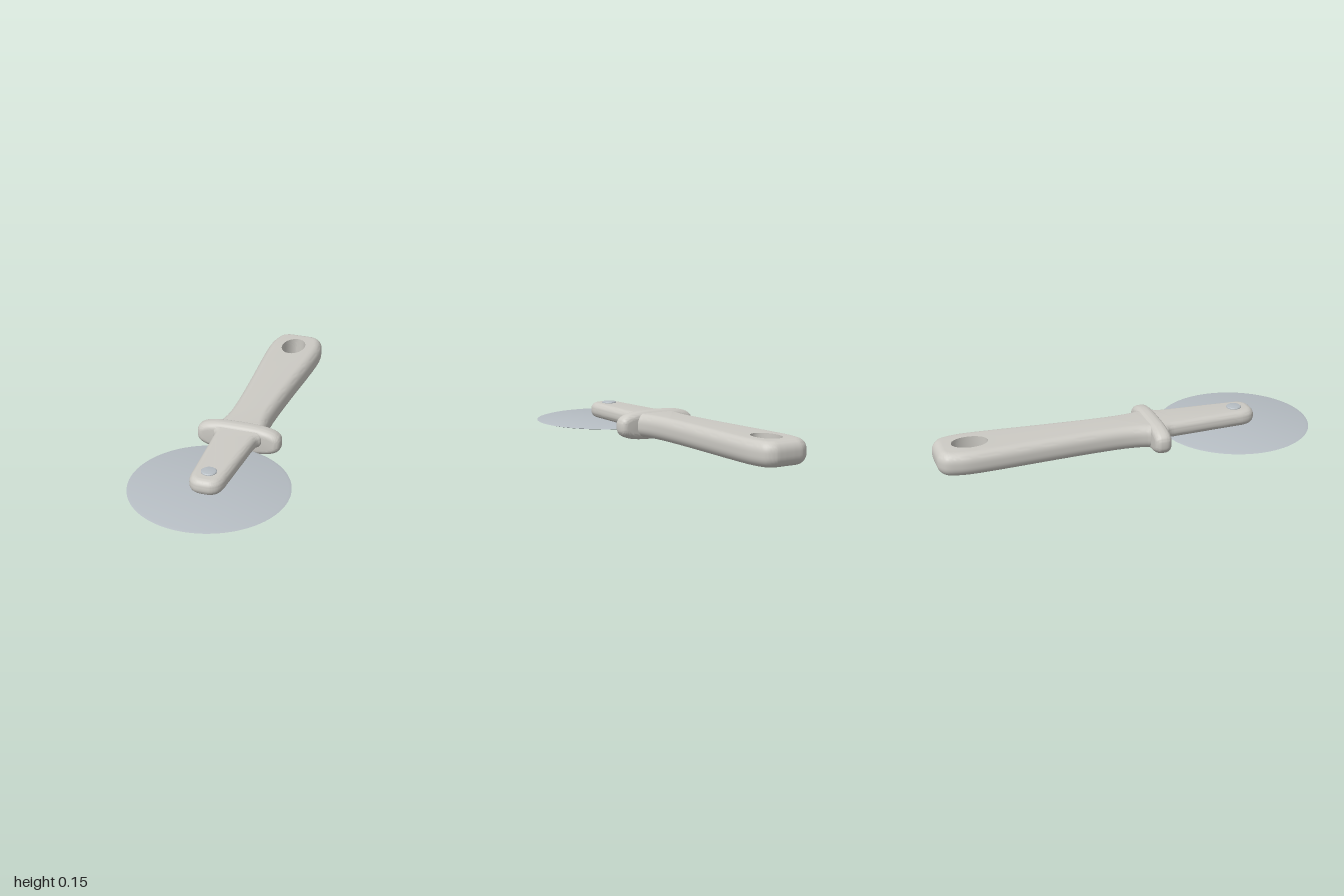
import * as THREE from 'three';
import { toCreasedNormals } from 'three/addons/utils/BufferGeometryUtils.js';

const plastic = new THREE.MeshStandardMaterial({ color: 0xcccac4 });
const steel = new THREE.MeshStandardMaterial({ color: 0xb6bdc3 });

// Symmetric outline from one half profile of [halfWidth, z], starting on the centre line
function outline(half) {
  const curve = new THREE.SplineCurve(half.map(([x, z]) => new THREE.Vector2(x, z)));
  const right = curve.getPoints(half.length * 6);
  const left = right.slice(1).reverse().map(p => new THREE.Vector2(-p.x, p.y));
  return new THREE.Shape([...right, ...left]);
}

// Extrusion with rounded rims whose widest section matches the shape, centred on its depth
function rounded(shape, height, size, thickness) {
  const depth = height - 2 * thickness;
  const geo = new THREE.ExtrudeGeometry(shape, {
    depth, steps: 1, curveSegments: 24, bevelEnabled: true, bevelSegments: 8,
    bevelSize: size, bevelThickness: thickness, bevelOffset: -size,
  });
  return geo.translate(0, 0, -depth / 2);
}

function part(name, geometry, material) {
  const mesh = new THREE.Mesh(geometry, material);
  mesh.name = name;
  return mesh;
}

export function createModel() {
  const group = new THREE.Group();
  group.name = 'rotaryCutter';

  // Handle: flared grip with an oval hanging hole
  const grip = outline([
    [0, -1], [0.04, -1], [0.08, -0.996], [0.12, -0.968], [0.139, -0.915], [0.148, -0.83],
    [0.141, -0.66], [0.127, -0.45], [0.114, -0.22], [0.11, -0.07], [0.115, 0.02],
    [0.125, 0.075], [0.132, 0.1], [0.132, 0.14],
  ]);
  const rim = 0.046, holeX = 0.064, holeZ = 0.094, holeAt = -0.82;
  const hole = new THREE.Path();
  hole.absellipse(0, holeAt, holeX - rim, holeZ - rim, 0, Math.PI * 2, true);
  grip.holes.push(hole);
  const gripGeo = rounded(grip, 0.123, rim, 0.052);
  // Pull the hole wall straight so only the outer rim is rounded
  const pos = gripGeo.attributes.position;
  for (let i = 0; i < pos.count; i++) {
    const u = pos.getX(i) / holeX, v = (pos.getY(i) - holeAt) / holeZ;
    const r = Math.hypot(u, v);
    if (r < 1.25) pos.setXY(i, (u / r) * holeX, holeAt + (v / r) * holeZ);
  }
  gripGeo.rotateX(Math.PI / 2).translate(0, 0.082, 0);
  group.add(part('handle', toCreasedNormals(gripGeo, 0.7), plastic));

  // Neck: tapered arm reaching over the blade
  const arm = outline([
    [0, 0.7], [0.04, 0.696], [0.072, 0.672], [0.087, 0.63], [0.091, 0.57], [0.1, 0.4],
    [0.109, 0.24], [0.115, 0.205], [0.128, 0.182], [0.132, 0.13],
  ]);
  const armGeo = rounded(arm, 0.082, 0.034, 0.036);
  armGeo.rotateX(Math.PI / 2).translate(0, 0.097, 0);
  group.add(part('neck', toCreasedNormals(armGeo, 0.7), plastic));

  // Finger guard: squarish oval plate across the handle
  const oval = [];
  const bulge = t => Math.sign(t) * Math.abs(t) ** (2 / 3);
  for (let i = 0; i < 72; i++) {
    const a = (i / 72) * Math.PI * 2;
    oval.push(new THREE.Vector2(0.222 * bulge(Math.cos(a)), 0.076 * bulge(Math.sin(a))));
  }
  const guardGeo = rounded(new THREE.Shape(oval), 0.088, 0.034, 0.036);
  guardGeo.translate(0, 0.079, 0.138);
  group.add(part('fingerGuard', toCreasedNormals(guardGeo, 0.7), plastic));

  // Blade: thin disc with a ground edge
  const lathe = (points, segments) => toCreasedNormals(
    new THREE.LatheGeometry(points.map(([x, y]) => new THREE.Vector2(x, y)), segments), 0.5);
  const blade = part('blade', lathe(
    [[0, -0.004], [0.382, -0.004], [0.397, 0], [0.382, 0.004], [0, 0.004]], 96), steel);
  blade.position.set(0, 0.05, 0.6);
  group.add(blade);

  // Pivot: domed rivet heads above the neck and below the blade
  for (const [name, y, flip] of [['topRivet', 0.136, 0], ['bottomRivet', 0.047, Math.PI]]) {
    const rivet = part(name, lathe(
      [[0, -0.004], [0.039, -0.004], [0.039, 0.005], [0.034, 0.009], [0.02, 0.011], [0, 0.012]], 40), steel);
    rivet.position.set(0, y, 0.6);
    rivet.rotation.x = flip;
    group.add(rivet);
  }
  return group;
}
